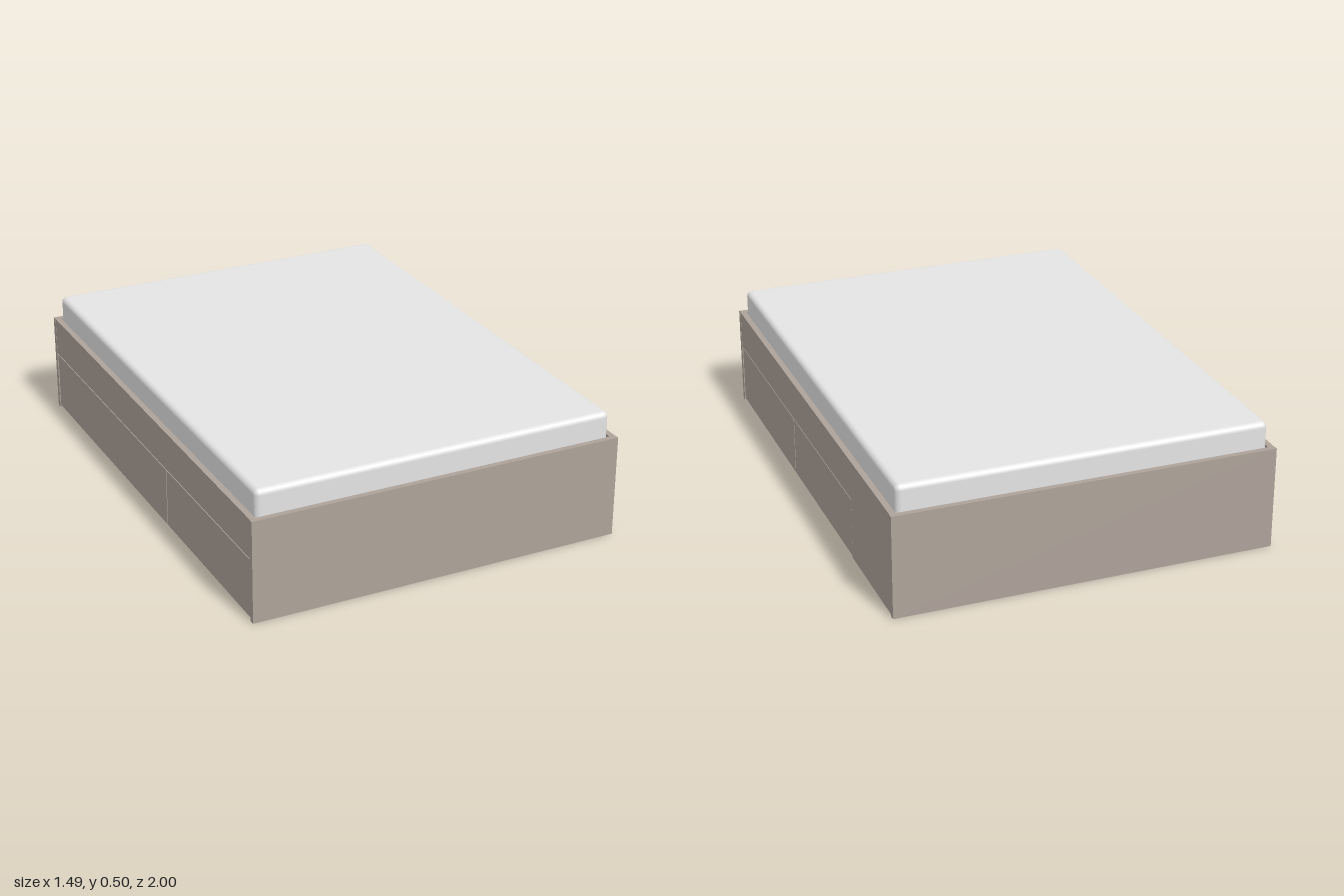
import * as THREE from 'three';
import { RoundedBoxGeometry } from 'three/addons/geometries/RoundedBoxGeometry.js';

const mat = (name, color) => {
  const m = new THREE.MeshStandardMaterial({ color });
  m.name = name;
  return m;
};

export function createModel() {
  const wood = mat('taupe wood', 0xaea39a);
  const white = mat('soft white', 0xe4e4e4);
  const grey = mat('caster grey', 0x8c8c8c);
  const bed = new THREE.Group();
  bed.name = 'storageBed';

  // box given by its minimum and maximum corners
  function box(parent, name, material, x0, x1, y0, y1, z0, z1) {
    const mesh = new THREE.Mesh(new THREE.BoxGeometry(Math.abs(x1 - x0), y1 - y0, z1 - z0), material);
    mesh.position.set((x0 + x1) / 2, (y0 + y1) / 2, (z0 + z1) / 2);
    mesh.name = name;
    parent.add(mesh);
    return mesh;
  }

  // head and foot boards
  box(bed, 'footBoard', wood, -0.745, 0.745, 0, 0.405, 0.978, 1);
  box(bed, 'headBoard', wood, -0.745, 0.745, 0, 0.405, -1, -0.978);

  // mattress and its base
  box(bed, 'mattressBase', white, -0.72, 0.72, 0.32, 0.332, -0.977, 0.977);
  const mattress = new THREE.Mesh(new RoundedBoxGeometry(1.436, 0.173, 1.95, 4, 0.022), white);
  mattress.position.set(0, 0.4185, 0);
  mattress.name = 'mattress';
  bed.add(mattress);

  const casterGeometry = new THREE.CylinderGeometry(0.013, 0.013, 0.014, 16).rotateZ(Math.PI / 2);

  // open drawer box on casters; s is the side of the bed
  function drawer(s, z0, z1) {
    const g = new THREE.Group();
    g.name = 'drawer';
    const t = 0.013, xi = 0.25, xo = 0.72, y0 = 0.018, y1 = 0.163;
    box(g, 'drawerInnerWall', white, s * xi, s * (xi + t), y0, y1, z0, z1);
    box(g, 'drawerOuterWall', white, s * (xo - t), s * xo, y0, y1, z0, z1);
    box(g, 'drawerEndWall', white, s * (xi + t), s * (xo - t), y0, y1, z0, z0 + t);
    box(g, 'drawerEndWall', white, s * (xi + t), s * (xo - t), y0, y1, z1 - t, z1);
    box(g, 'drawerBottom', white, s * (xi + t), s * (xo - t), 0.03, 0.038, z0 + t, z1 - t);
    for (const x of [xi + 0.03, xo - 0.03]) {
      for (const z of [z0 + 0.03, z1 - 0.03]) {
        const caster = new THREE.Mesh(casterGeometry, grey);
        caster.position.set(s * x, 0.0135, z);
        caster.name = 'caster';
        g.add(caster);
      }
    }
    bed.add(g);
  }

  // both sides: upper rail, drawer fronts and drawer boxes
  for (const s of [-1, 1]) {
    box(bed, 'sideRail', wood, s * 0.721, s * 0.744, 0.25, 0.405, -0.978, 0.978);
    drawer(s, 0.214, 0.974);
    drawer(s, -0.53, 0.21);
    box(bed, 'drawerFront', wood, s * 0.721, s * 0.742, 0.01, 0.243, 0.215, 0.976);
    if (s > 0) {
      box(bed, 'drawerFront', wood, 0.721, 0.742, 0.01, 0.243, -0.527, 0.21);
      box(bed, 'fixedSidePanel', wood, 0.721, 0.743, 0.004, 0.25, -0.978, -0.531);
    } else {
      box(bed, 'longDrawerFront', wood, -0.742, -0.721, 0.01, 0.243, -0.976, 0.21);
    }
  }
  return bed;
}
